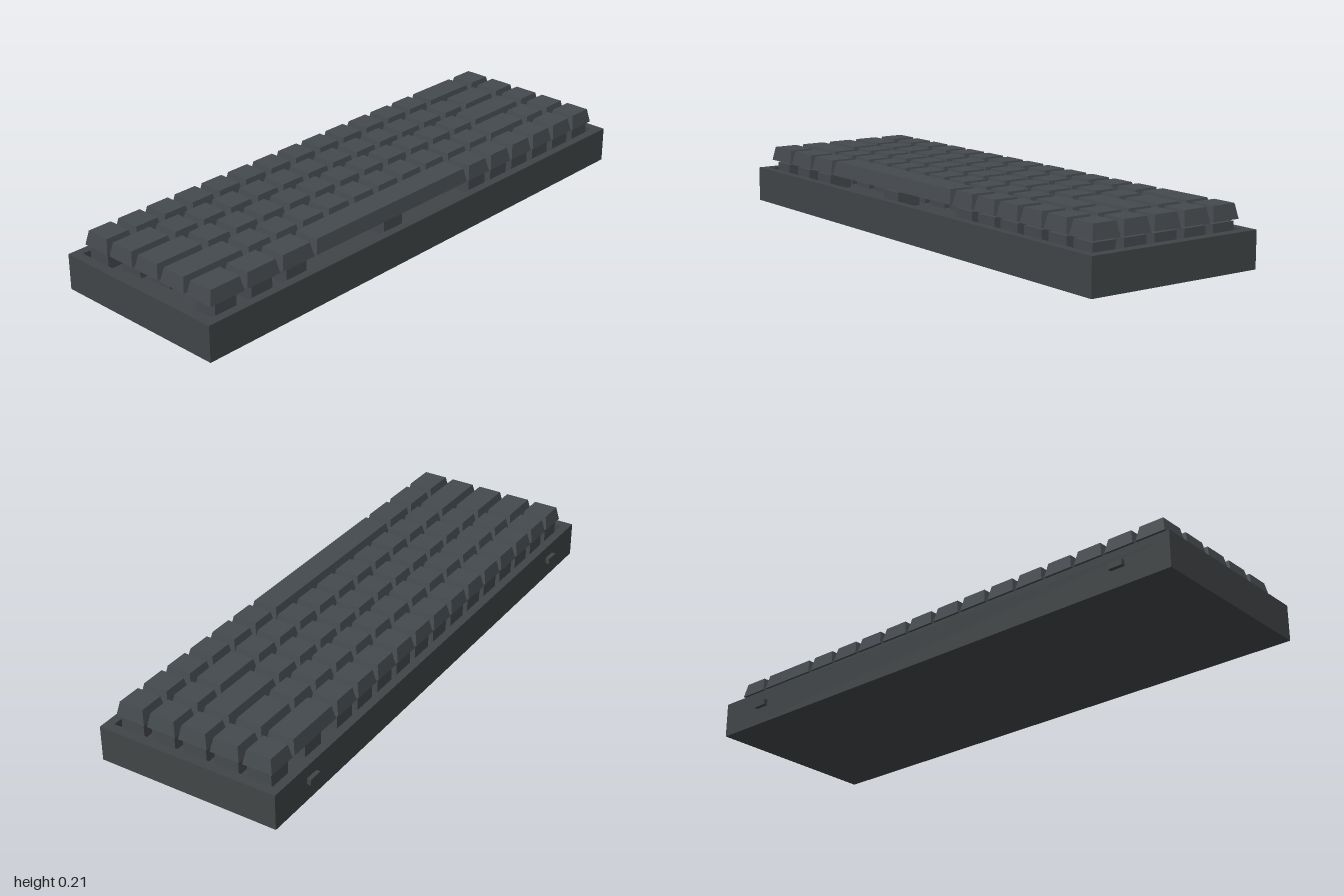
import * as THREE from 'three';

const PITCH = 0.1205;          // one key unit
const CENTER_Z = 0.0085;       // middle row
const CASE_TOP = 0.127;
const PLATE_TOP = 0.1;

const mat = (name, color) => {
  const m = new THREE.MeshStandardMaterial({ color });
  m.name = name;
  return m;
};

// Key widths in units, back row to front row
const ones = n => Array(n).fill(1);
const ROWS = [
  [...ones(13), 2, 1],
  [1.5, ...ones(12), 1.5, 1],
  [1.75, ...ones(11), 2.25, 1],
  [2.25, ...ones(10), 1.75, 1, 1],
  [1.25, 1.25, 1.25, 6.25, ...ones(6)],
];

// Box whose top face is drawn in by a constant inset
function capGeometry(w, h, d, inset) {
  const g = new THREE.BoxGeometry(w, h, d);
  const p = g.attributes.position;
  for (let i = 0; i < p.count; i++) {
    if (p.getY(i) > 0) {
      p.setX(i, p.getX(i) - Math.sign(p.getX(i)) * inset);
      p.setZ(i, p.getZ(i) - Math.sign(p.getZ(i)) * inset);
    }
  }
  g.computeVertexNormals();
  return g;
}

function rectangle(Path, w, d) {
  return new Path([[-1, -1], [1, -1], [1, 1], [-1, 1]]
    .map(([x, y]) => new THREE.Vector2(x * w / 2, y * d / 2)));
}

export function createModel() {
  const model = new THREE.Group();
  model.name = 'keyboard';
  const caseGrey = mat('case grey', 0x414547);
  const capGrey = mat('keycap grey', 0x454a4e);
  const stemRed = mat('stem red', 0xa83c3c);

  const add = (parent, name, geometry, material, x, y, z) => {
    const mesh = new THREE.Mesh(geometry, material);
    mesh.name = name;
    mesh.position.set(x, y, z);
    parent.add(mesh);
    return mesh;
  };

  // Case: solid base with a raised rim around the switch plate
  const caseDepth = 0.665, caseZ = 0.0075;
  add(model, 'caseBase', new THREE.BoxGeometry(2, PLATE_TOP, caseDepth), caseGrey, 0, PLATE_TOP / 2, caseZ);
  const rim = rectangle(THREE.Shape, 2, caseDepth);
  rim.holes.push(rectangle(THREE.Path, 1.93, 0.604));
  const rimGeometry = new THREE.ExtrudeGeometry(rim, { depth: CASE_TOP - PLATE_TOP, bevelEnabled: false });
  rimGeometry.rotateX(-Math.PI / 2);
  add(model, 'caseRim', rimGeometry, caseGrey, 0, PLATE_TOP, caseZ);

  // Small tabs on the back wall
  for (const x of [-0.805, 0.805]) {
    add(model, 'backTab', new THREE.BoxGeometry(0.052, 0.021, 0.02), caseGrey, x, 0.073, -0.33);
  }

  // Keys: switch body, red stem and tapered cap
  const bodyGeometry = new THREE.BoxGeometry(0.088, 0.152 - PLATE_TOP, 0.088);
  const stemGeometry = new THREE.BoxGeometry(0.024, 0.01, 0.024);
  const caps = new Map();
  ROWS.forEach((row, r) => {
    const z = CENTER_Z + (r - 2) * PITCH;
    let left = -8 * PITCH;
    for (const units of row) {
      const key = new THREE.Group();
      key.name = 'key';
      key.position.set(left + units * PITCH / 2, 0, z);
      if (!caps.has(units)) caps.set(units, capGeometry(units * PITCH - 0.0115, 0.05, 0.109, 0.01));
      add(key, 'switchBody', bodyGeometry, capGrey, 0, (0.152 + PLATE_TOP) / 2, 0);
      add(key, 'switchStem', stemGeometry, stemRed, 0, 0.156, 0);
      add(key, 'keycap', caps.get(units), capGrey, 0, 0.184, 0);
      model.add(key);
      left += units * PITCH;
    }
  });
  return model;
}
